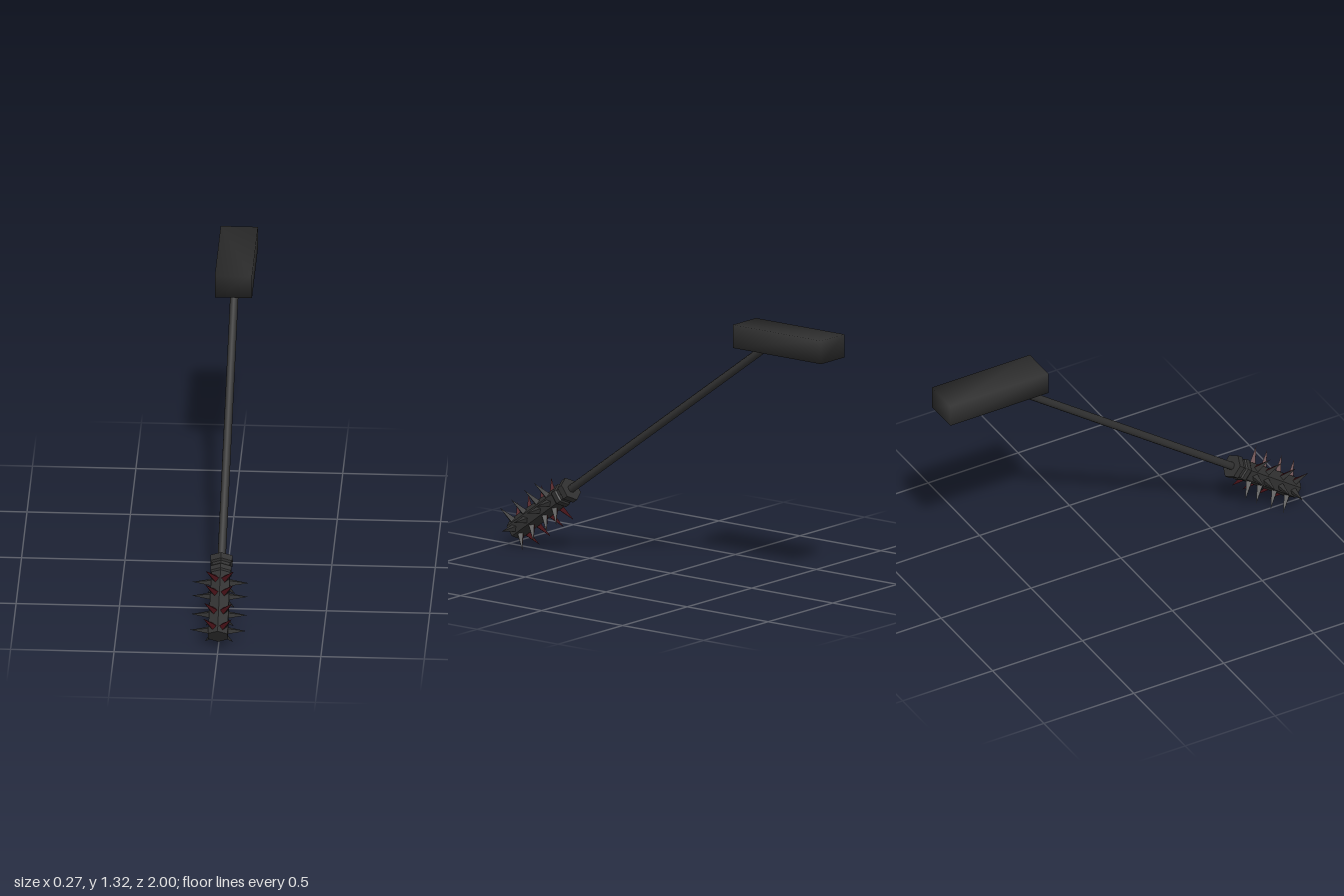
import * as THREE from 'three';

const grey = new THREE.MeshStandardMaterial({ color: 0x313131 });
grey.name = 'dark grey metal';
const black = new THREE.MeshStandardMaterial({ color: 0x2b2b2b });
black.name = 'black block';
const red = new THREE.MeshStandardMaterial({ color: 0x4a1218 });
red.name = 'dark red';

function add(parent, name, geometry, material) {
  const mesh = new THREE.Mesh(geometry, material);
  mesh.name = name;
  parent.add(mesh);
  return mesh;
}

// Faceted copy of a geometry
function faceted(geometry) {
  const g = geometry.toNonIndexed();
  g.computeVertexNormals();
  return g;
}

// Block with a slot in its underside, softly shaded across its edges
function blockGeometry() {
  // loops: half width, y, back z, front z
  const loops = [
    [0.09, 1.32, -1, -0.455],
    [0.09, 1.205, -1, -0.455],
    [0.032, 1.205, -0.95, -0.53],
    [0.032, 1.25, -0.95, -0.53],
  ];
  const pos = [], index = [];
  for (const [w, y, back, front] of loops) {
    pos.push(-w, y, back, -w, y, front, w, y, front, w, y, back);
  }
  index.push(0, 1, 2, 0, 2, 3);
  for (let l = 0; l < 3; l++) {
    for (let i = 0; i < 4; i++) {
      const a = l * 4 + i, b = l * 4 + (i + 1) % 4;
      index.push(a, a + 4, b, b, a + 4, b + 4);
    }
  }
  index.push(12, 14, 13, 12, 15, 14);
  const g = new THREE.BufferGeometry();
  g.setAttribute('position', new THREE.Float32BufferAttribute(pos, 3));
  g.setIndex(index);
  g.computeVertexNormals();
  return g;
}

// Four-sided spike pointing along +x, with the listed sides red
function spikeGeometry(redFaces) {
  const g = faceted(new THREE.ConeGeometry(0.021, 0.102, 4, 1, true));
  g.rotateZ(-Math.PI / 2);
  g.translate(0.085, 0, 0);
  g.clearGroups();
  for (let i = 0; i < 4; i++) g.addGroup(i * 3, 3, redFaces.includes(i) ? 1 : 0);
  return g;
}

export function createModel() {
  const model = new THREE.Group();
  model.name = 'spikedClub';

  add(model, 'block', blockGeometry(), black);

  // Club: local +y runs from the collar down to the end of the head
  const club = new THREE.Group();
  club.name = 'club';
  club.position.set(0, 0.331, 0.615);
  club.rotation.x = 2.203;
  model.add(club);

  const shaft = new THREE.CylinderGeometry(0.02, 0.02, 1.665, 8);
  shaft.translate(0, -0.8125, 0);
  add(club, 'shaft', shaft, grey);

  // Six-sided head with a stepped collar
  const profile = [
    [0, 0], [0.061, 0], [0.061, 0.03], [0.05, 0.038], [0.05, 0.052], [0.058, 0.058],
    [0.058, 0.082], [0.051, 0.09], [0.055, 0.427], [0, 0.427],
  ].map(([r, y]) => new THREE.Vector2(r, y));
  add(club, 'head', faceted(new THREE.LatheGeometry(profile, 6)), grey);

  // Four rings of six spikes; the diagonal ones are red towards the middle plane
  const plain = spikeGeometry([]), redBehind = spikeGeometry([1, 2]), redAhead = spikeGeometry([0, 3]);
  for (const y of [0.133, 0.208, 0.308, 0.394]) {
    for (let i = 0; i < 6; i++) {
      const angle = i * Math.PI / 3;
      const side = Math.sin(angle) * Math.cos(angle);
      const geometry = i % 3 === 0 ? plain : side > 0 ? redBehind : redAhead;
      const spike = add(club, 'spike', geometry, [grey, red]);
      spike.position.y = y;
      spike.rotation.y = angle;
    }
  }
  return model;
}
